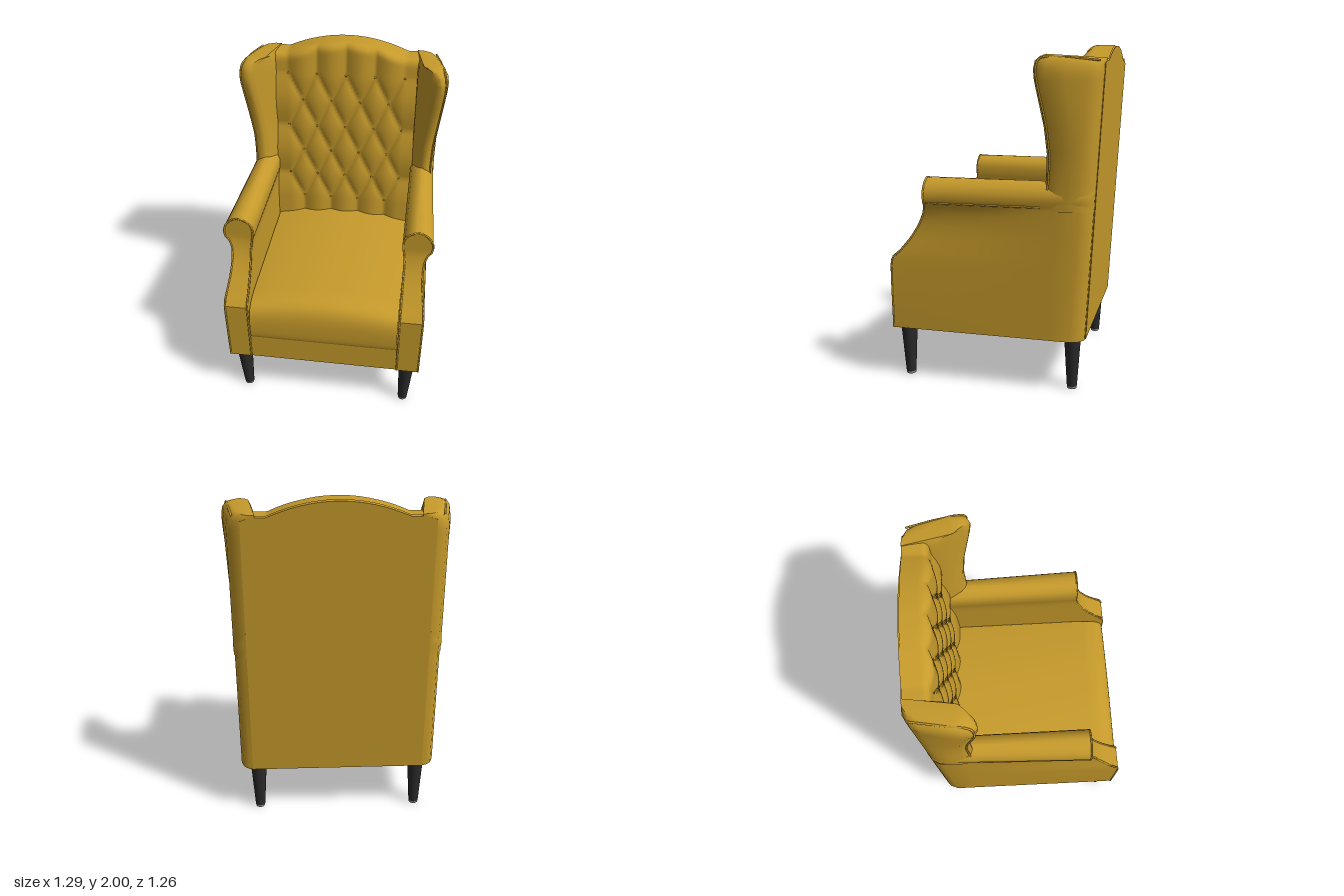
import * as THREE from 'three';
import { toCreasedNormals } from 'three/addons/utils/BufferGeometryUtils.js';

const mat = (name, color) => new THREE.MeshStandardMaterial({ name, color });
const V = (x, y, z) => new THREE.Vector3(x, y, z);
const lerp = THREE.MathUtils.lerp, clamp = THREE.MathUtils.clamp;
const backZ = y => -0.54 - 0.052 * (y - 0.32);              // raked back plane
const archY = x => 2 - 0.085 * Math.min(1, (x / 0.38) ** 2); // arched top edge

// Skin between rings (counter-clockwise from above, bottom to top), with end caps
function loft(rings, crease) {
  const n = rings[0].length, pts = rings.flat(), index = [];
  for (let r = 0; r < rings.length - 1; r++) {
    for (let i = 0; i < n; i++) {
      const a = r * n + i, b = r * n + (i + 1) % n;
      index.push(a, b, b + n, a, b + n, a + n);
    }
  }
  [rings[0], rings[rings.length - 1]].forEach((ring, end) => {
    const shape = ring.map(p => new THREE.Vector2(p.x, -p.z));
    const base = end ? pts.length - n : 0;
    for (const [a, b, c] of THREE.ShapeUtils.triangulateShape(shape, [])) {
      if (end) index.push(base + a, base + b, base + c);
      else index.push(base + a, base + c, base + b);
    }
  });
  const geo = new THREE.BufferGeometry().setFromPoints(pts);
  geo.setIndex(index);
  return toCreasedNormals(geo, crease);
}

// Mirror across x and restore the winding
function mirrored(source) {
  const geo = source.index ? source.toNonIndexed() : source.clone();
  geo.scale(-1, 1, 1);
  for (const attr of Object.values(geo.attributes)) {
    const s = attr.itemSize, a = attr.array;
    for (let t = 0; t < attr.count; t += 3) {
      for (let k = 0; k < s; k++) {
        const i = (t + 1) * s + k, j = (t + 2) * s + k;
        [a[i], a[j]] = [a[j], a[i]];
      }
    }
  }
  return geo;
}

function displace(geo, rule) {
  const p = geo.attributes.position, v = new THREE.Vector3();
  for (let i = 0; i < p.count; i++) {
    rule(v.fromBufferAttribute(p, i), i);
    p.setXYZ(i, v.x, v.y, v.z);
  }
  return geo;
}

const pipe = (pts, tension = 0.3) =>
  new THREE.TubeGeometry(new THREE.CatmullRomCurve3(pts, false, 'catmullrom', tension), 70, 0.006, 6);

// Arm rows: y, inner x, outer x, front z
const ARM = [
  [0.32, 0.46, 0.6, 0.62], [0.73, 0.46, 0.605, 0.62], [0.8, 0.46, 0.6, 0.565],
  [0.88, 0.46, 0.587, 0.5], [0.96, 0.46, 0.58, 0.45], [1.03, 0.46, 0.583, 0.42],
  [1.08, 0.455, 0.6, 0.408], [1.1, 0.45, 0.62, 0.405], [1.13, 0.447, 0.628, 0.405],
  [1.17, 0.447, 0.625, 0.405], [1.205, 0.46, 0.605, 0.405], [1.23, 0.495, 0.575, 0.405],
  [1.24, 0.52, 0.55, 0.405],
];
function armRing([y, xi, xo, zf]) {
  const zb = backZ(y), ring = [V(xi, y, zb), V(xi, y, zf)];
  const xb = y < 1.09 ? 0.595 : xo - 0.025;
  for (let i = 0; i <= 8; i++) {
    const z = lerp(zf, zb + 0.08, i / 8);
    ring.push(V(lerp(xb, xo, clamp((z + 0.35) / 0.75, 0, 1)), y, z));
  }
  const w = xb - xi;
  ring.push(V(xb - w * 0.15, y, zb + 0.03), V(xb - w * 0.4, y, zb + 0.004));
  return ring;
}

// Wing rows: y, outer x, front z, inward shrink for the rounded top
const WING = [
  [1.08, 0.6, -0.285, 0], [1.25, 0.592, -0.305, 0], [1.4, 0.597, -0.31, 0],
  [1.55, 0.615, -0.295, 0], [1.7, 0.632, -0.265, 0], [1.8, 0.643, -0.245, 0],
  [1.86, 0.645, -0.24, 0], [1.905, 0.637, -0.248, 0.01], [1.93, 0.618, -0.272, 0.03],
  [1.942, 0.59, -0.3, 0.05],
];
function wingRing([y, xo, zf, s]) {
  const zb = backZ(y), k = s * 0.4;
  return [
    [0.44, zb], [0.455 + k, -0.42], [xo - 0.1, zf - 0.035], [xo - 0.075, zf - 0.008],
    [xo - 0.045, zf], [xo - 0.015, zf - 0.02], [xo, zf - 0.07],
    [lerp(xo, 0.6 - s, 0.5) + 0.004, lerp(zf - 0.07, zb + 0.08, 0.5)],
    [0.6 - s, zb + 0.08], [0.575 - s, zb + 0.03], [0.53 - s, zb + 0.003], [0.5 - s, zb],
  ].map(([x, z]) => V(x, y > 1.85 ? y - 0.022 * clamp((zf - z) / 0.35, 0, 1) : y, z));
}

// Seat cushion: side profile swept across, with a crowned top
function seatGeometry() {
  const shape = new THREE.Shape();
  shape.moveTo(0.42, 0.49);
  shape.lineTo(-0.615, 0.49);
  shape.quadraticCurveTo(-0.626, 0.5, -0.626, 0.56);
  shape.bezierCurveTo(-0.626, 0.7, -0.6, 0.735, -0.46, 0.745);
  shape.lineTo(0.42, 0.745);
  const geo = new THREE.ExtrudeGeometry(shape, { depth: 0.91, steps: 20, bevelEnabled: false, curveSegments: 12 });
  geo.rotateY(Math.PI / 2).translate(-0.455, 0, 0);
  displace(geo, v => { v.y += 0.045 * (1 - (v.x / 0.455) ** 2) * clamp((v.y - 0.55) / 0.19, 0, 1); });
  return toCreasedNormals(geo, 0.7);
}

// Tufted back cushion: diamond lattice of pillows that rolls over the arched top
const DX = 0.187, DY = 0.36, COLS = 80, LOW = 48, HIGH = 16;
const tuftZ = y => -0.412 - 0.055 * (y - 0.75);
function tuftedGeometry() {
  const geo = new THREE.PlaneGeometry(1, 1, COLS, LOW + HIGH);
  displace(geo, (v, i) => {
    const row = LOW + HIGH - Math.floor(i / (COLS + 1));
    const x = (i % (COLS + 1) - COLS / 2) * DX / 16;
    const t = (row - LOW) / HIGH, H = archY(x);
    let y = 0.71 + Math.min(row, LOW) * DY / 16, back = 0, fade = 1;
    if (t > 0) {
      const a = clamp((t - 0.4) / 0.4, 0, 1) * Math.PI / 2;
      y = lerp(1.79, H - 0.05, Math.min(1, t / 0.4)) + 0.05 * Math.sin(a);
      back = 0.05 * (1 - Math.cos(a));
      fade = Math.cos(a);
    }
    const cx = clamp(x, -2 * DX, 2 * DX) / DX, cy = (clamp(y, 0.89, 1.79) - 1.43) / DY;
    const puff = Math.sqrt(Math.abs(Math.sin(Math.PI * (cx + cy)) * Math.sin(Math.PI * (cx - cy))));
    let z = tuftZ(y) - back + 0.024 * lerp(0.6, puff, fade);
    if (t > 0.8) z = lerp(z, -0.622, (t - 0.8) / 0.2);
    v.set(x, y, z);
  });
  geo.computeVertexNormals();
  return geo;
}

// Raked back panel with the arched top
function backGeometry() {
  const shape = new THREE.Shape();
  shape.moveTo(-0.52, 0.32);
  shape.lineTo(0.52, 0.32);
  shape.lineTo(0.52, 1.89);
  for (let i = 0; i <= 24; i++) {
    const x = 0.46 - 0.92 * i / 24;
    shape.lineTo(x, archY(x) - 0.006);
  }
  shape.lineTo(-0.52, 1.89);
  const geo = new THREE.ExtrudeGeometry(shape, { depth: 0.12, bevelEnabled: false });
  displace(geo, v => { v.z += backZ(v.y) - 0.002; });
  return toCreasedNormals(geo, 0.5);
}

export function createModel() {
  const chair = new THREE.Group();
  chair.name = 'wingArmchair';
  const fabric = mat('mustardFabric', 0xc69a2b);
  const wood = mat('blackWood', 0x2a2a2b);
  const metal = mat('greyFootCap', 0x8a8685);
  const add = (name, geo, material, parent = chair) => {
    const mesh = new THREE.Mesh(geo, material);
    mesh.name = name;
    parent.add(mesh);
    return mesh;
  };
  const addPair = (name, geo, material) => {
    add(name + 'Left', geo, material);
    add(name + 'Right', mirrored(geo), material);
  };

  // Seat and back
  add('seatBase', new THREE.BoxGeometry(0.96, 0.17, 1.145).translate(0, 0.405, 0.0425), fabric);
  add('seatCushion', seatGeometry(), fabric);
  add('backPanel', backGeometry(), fabric);
  add('tuftedBackCushion', tuftedGeometry(), fabric);

  // Buttons at the lattice crossings
  const buttons = new THREE.Group();
  buttons.name = 'backButtons';
  chair.add(buttons);
  for (let r = 0; r < 6; r++) {
    const y = 0.89 + r * DY / 2;
    for (const k of r % 2 ? [-2, -1, 0, 1, 2] : [-1.5, -0.5, 0.5, 1.5]) {
      add('button', new THREE.SphereGeometry(0.007, 8, 6).scale(1, 1, 0.5)
        .translate(k * DX, y, tuftZ(y) + 0.002), fabric, buttons);
    }
  }

  // Arms and wings
  addPair('arm', loft(ARM.map(armRing), 0.65), fabric);
  addPair('wing', loft(WING.map(wingRing), 0.9), fabric);

  // Piping along the arm fronts, under the arm rolls and around the wings
  const outer = ARM.map(([y, , xo, zf]) => V(xo - 0.002, y, zf - 0.002));
  const inner = ARM.map(([y, xi, , zf]) => V(xi + 0.004, y, zf - 0.002)).reverse();
  addPair('armFrontPiping', pipe([...outer, ...inner]), fabric);
  addPair('armRollPiping', pipe([V(0.618, 1.1, 0.4), V(0.607, 1.1, 0.05), V(0.598, 1.1, -0.28)]), fabric);
  addPair('wingPiping', pipe([
    ...WING.slice(0, 8).map(([y, xo, zf]) => V(xo - 0.013, y, zf - 0.02)),
    V(0.615, 1.925, -0.3), V(0.59, 1.922, -0.45), V(0.56, 1.908, -0.6),
  ]), fabric);

  // Tapered legs with foot caps
  for (const [name, x, z, splay] of [['frontLeg', 0.525, 0.548, -0.012], ['backLeg', 0.49, -0.46, 0]]) {
    const leg = new THREE.CylinderGeometry(0.05, 0.03, 0.31, 24).translate(0, 0.17, 0);
    const cap = new THREE.CylinderGeometry(0.03, 0.028, 0.015, 24).translate(0, 0.0075, 0);
    for (const geo of [leg, cap]) {
      displace(geo, v => { v.x += x + splay * (1 - v.y / 0.32); v.z += z; });
    }
    addPair(name, leg, wood);
    addPair(name + 'Cap', cap, metal);
  }
  return chair;
}
